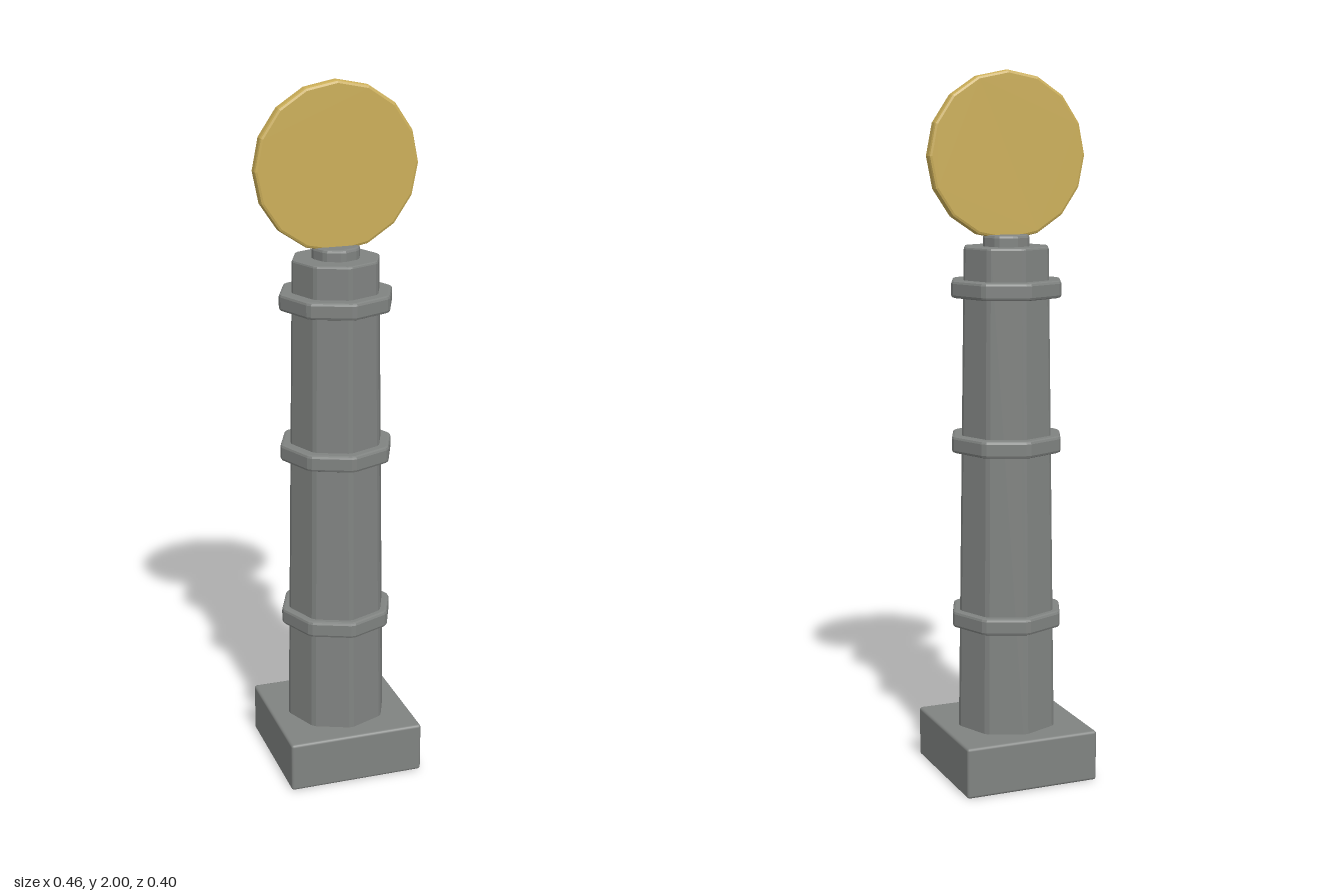
import * as THREE from 'three';
import { RoundedBoxGeometry } from 'three/addons/geometries/RoundedBoxGeometry.js';

const stone = new THREE.MeshStandardMaterial({ color: 0x808381 });
stone.name = 'stone grey';
const gold = new THREE.MeshStandardMaterial({ color: 0xcbae58 });
gold.name = 'gold';

// Regular polygon with a corner on the +y axis; each corner is trimmed by "cut"
function polygon(sides, radius, cut) {
  const corner = (i) => {
    const a = (i / sides) * Math.PI * 2;
    return new THREE.Vector2(Math.sin(a) * radius, Math.cos(a) * radius);
  };
  const edge = 2 * radius * Math.sin(Math.PI / sides);
  const points = [];
  for (let i = 0; i < sides; i++) {
    const p = corner(i);
    if (!cut) { points.push(p); continue; }
    points.push(p.clone().lerp(corner(i - 1), cut / edge), p.clone().lerp(corner(i + 1), cut / edge));
  }
  return new THREE.Shape(points.reverse());
}

// Softly bevelled prism lying along z, from 0 to depth
function prism(sides, radius, depth, bevel, cut) {
  const geo = new THREE.ExtrudeGeometry(polygon(sides, radius, cut), {
    depth: depth - 2 * bevel, bevelEnabled: true, bevelThickness: bevel,
    bevelSize: bevel, bevelOffset: -bevel, bevelSegments: 2,
  });
  return geo.translate(0, 0, bevel);
}

// Upright octagon between two heights, optionally tapering
function octagon(y0, y1, rBottom, rTop = rBottom, bevel = 0.008) {
  const geo = prism(8, rBottom, y1 - y0, bevel, 0.008).rotateX(-Math.PI / 2);
  const pos = geo.attributes.position;
  for (let i = 0; i < pos.count; i++) {
    const s = THREE.MathUtils.lerp(1, rTop / rBottom, pos.getY(i) / (y1 - y0));
    pos.setX(i, pos.getX(i) * s);
    pos.setZ(i, pos.getZ(i) * s);
  }
  geo.computeVertexNormals();
  return geo.translate(0, y0, 0);
}

export function createModel() {
  const group = new THREE.Group();
  group.name = 'discTopPillar';
  const add = (name, geo, material) => {
    const mesh = new THREE.Mesh(geo, material);
    mesh.name = name;
    group.add(mesh);
    return mesh;
  };

  // Square plinth
  add('plinth', new RoundedBoxGeometry(0.396, 0.146, 0.396, 2, 0.008), stone).position.y = 0.073;

  // Tapering octagonal shaft with three collars
  add('shaft', octagon(0.14, 1.52, 0.148, 0.127, 0.006), stone);
  [0.44, 0.945, 1.38].forEach((y, i) => add(`collar${i + 1}`, octagon(y, y + 0.048, 0.165), stone));

  // Small cap under the disc
  add('cap', octagon(1.51, 1.552, 0.07), stone);

  // Upright disc facing front and back
  const disc = prism(16, 0.232, 0.036, 0.008, 0).translate(0, 0, -0.018);
  add('disc', disc, gold).position.y = 1.768;

  return group;
}
